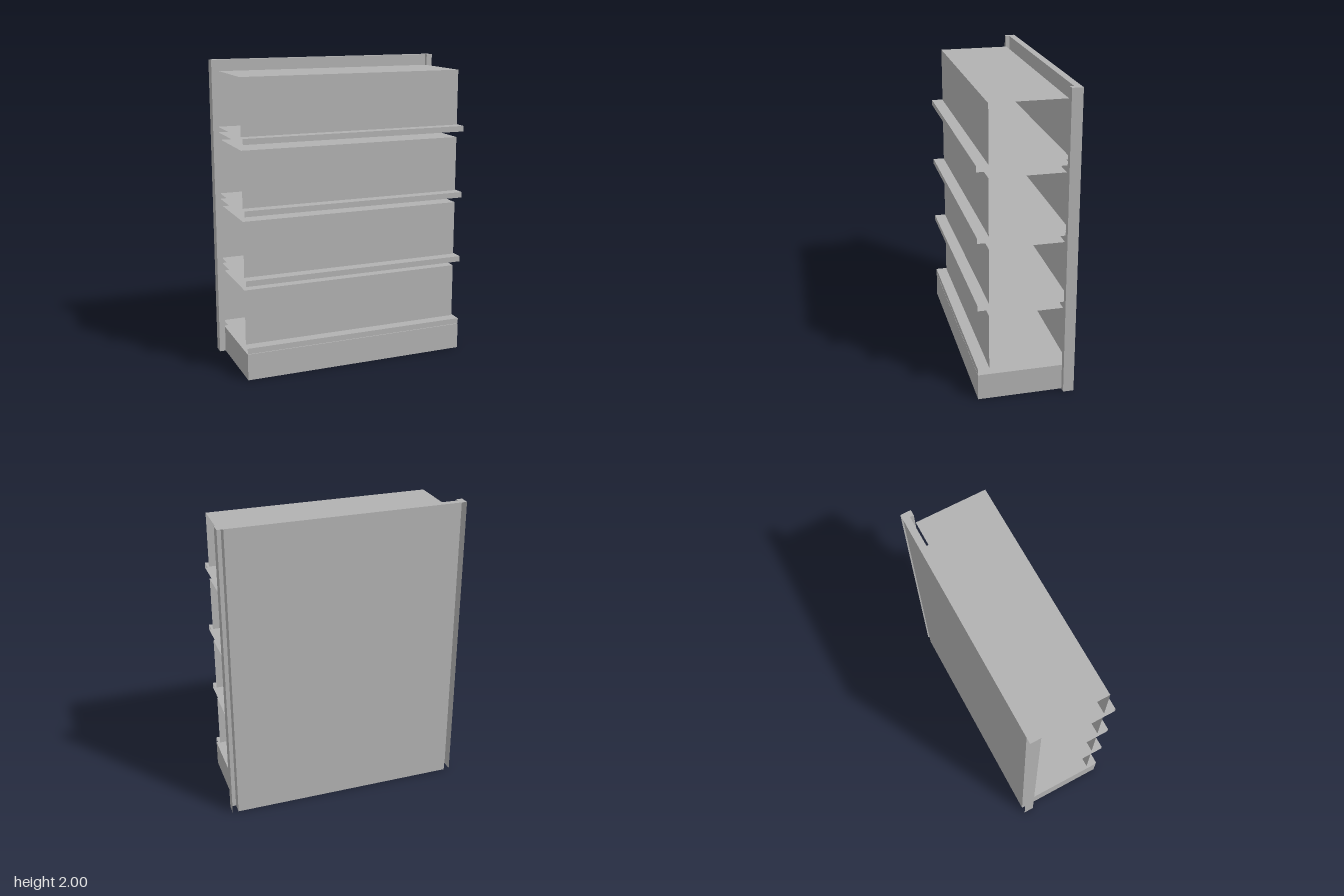
import * as THREE from 'three';

// Face order of BoxGeometry: +x, -x, +y, -y, +z, -z
const FACES = ['right', 'left', 'top', 'bottom', 'front', 'back'];

// Sheet-metal box that keeps only the listed faces
function openBox(x0, x1, y0, y1, z0, z1, keep) {
  const g = new THREE.BoxGeometry(x1 - x0, y1 - y0, z1 - z0);
  const all = Array.from(g.index.array);
  g.setIndex(keep.flatMap((f) => {
    const i = FACES.indexOf(f) * 6;
    return all.slice(i, i + 6);
  }));
  g.clearGroups();
  g.translate((x0 + x1) / 2, (y0 + y1) / 2, (z0 + z1) / 2);
  return g;
}

export function createModel() {
  const model = new THREE.Group();
  model.name = 'shelvingUnit';
  const grey = new THREE.MeshStandardMaterial({ color: 0xb2b2b2, side: THREE.DoubleSide });
  grey.name = 'grey';

  const add = (name, ...box) => {
    const mesh = new THREE.Mesh(openBox(...box), grey);
    mesh.name = name;
    model.add(mesh);
  };

  const W = 0.76;               // half width between the posts
  const BACK = -0.31, PANEL = -0.265, FRONT = 0.31;

  // Hollow back panel, open at the bottom
  add('backPanel', -W, W, 0, 2, BACK, PANEL, ['front', 'back', 'top']);

  // Channel posts, open at the back and bottom
  add('leftPost', W, 0.8, 0, 2, BACK, -0.24, ['right', 'left', 'front', 'top']);
  add('rightPost', -0.8, -W, 0, 2, BACK, -0.24, ['right', 'left', 'front', 'top']);

  // Plinth, open underneath
  add('base', -W, W, 0, 0.175, PANEL, FRONT, ['right', 'left', 'front', 'top']);

  // Four open-ended shelves, each carrying a block of stock with open ends
  for (let i = 0; i < 4; i++) {
    const y = 0.215 + i * 0.449;
    const faces = i === 0 ? ['top', 'front'] : ['top', 'bottom', 'front'];
    add('shelf' + (i + 1), -W, W, y - 0.037, y, PANEL, FRONT, faces);
    add('stock' + (i + 1), -0.75, 0.75, y, y + 0.365, -0.24, 0.235, ['top', 'front']);
  }
  return model;
}
